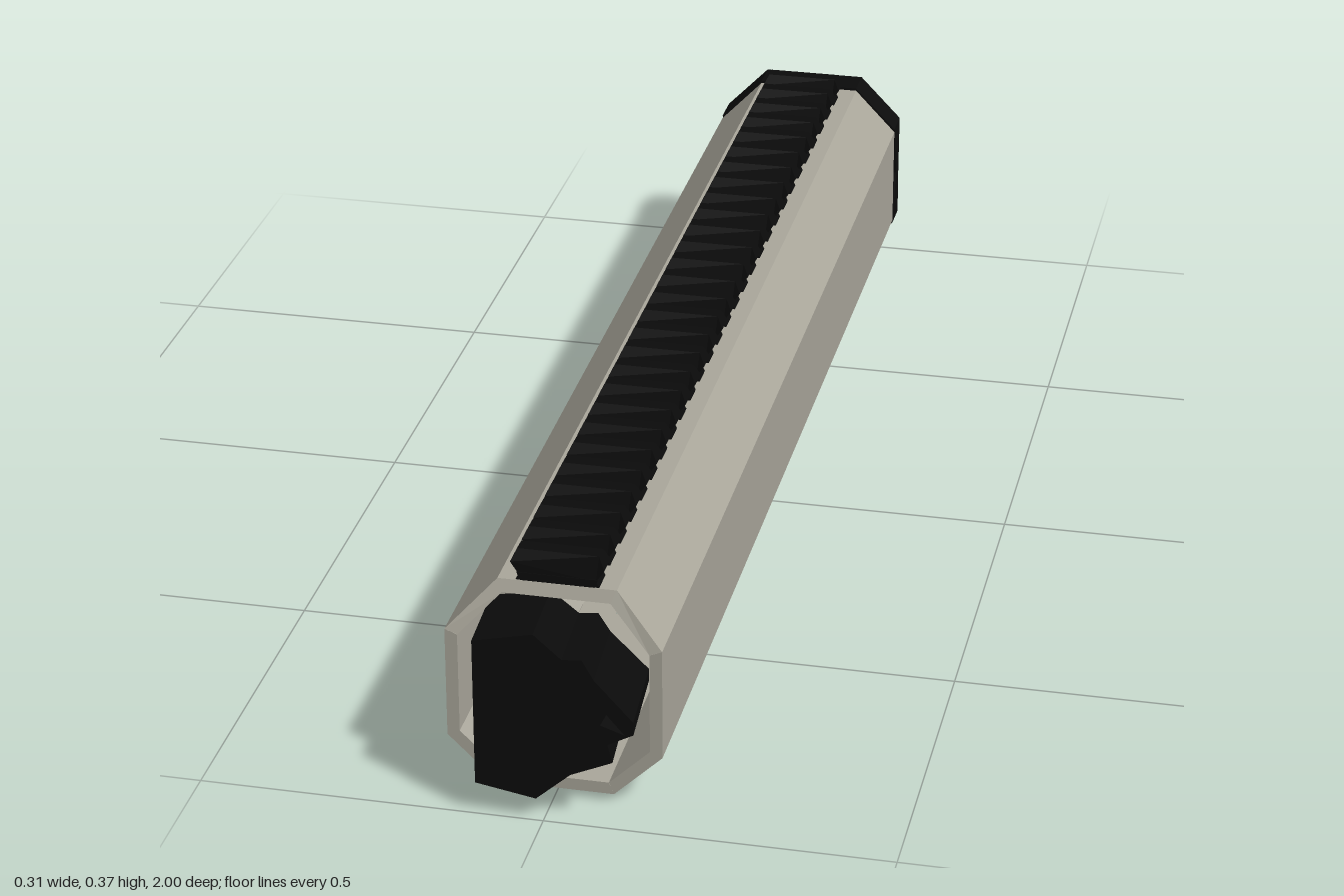
import * as THREE from 'three';

const shellGrey = new THREE.MeshStandardMaterial({ color: 0xaaa79b });
shellGrey.name = 'shellGrey';
const matteBlack = new THREE.MeshStandardMaterial({ color: 0x0b0b0b });
matteBlack.name = 'matteBlack';

const SLOT_CENTRES = [-0.73, -0.365, 0, 0.365, 0.73];

function named(name, geometry, material) {
  const mesh = new THREE.Mesh(geometry, material);
  mesh.name = name;
  return mesh;
}

function polygon(points, Type = THREE.Shape) {
  return new Type(points.map(([x, y]) => new THREE.Vector2(x, y)));
}

function rectangle(w, z0, z1, Type) {
  return polygon([[-w / 2, z0], [w / 2, z0], [w / 2, z1], [-w / 2, z1]], Type);
}

// Long wall whose outer face runs from a to b (counterclockwise seen from the front)
function wall(a, b, thick, back, front, slotWidth) {
  const u = new THREE.Vector3(b[0] - a[0], b[1] - a[1], 0);
  const width = u.length();
  u.normalize();
  const n = new THREE.Vector3(u.y, -u.x, 0);
  const shape = rectangle(width, back, front);
  if (slotWidth) {
    for (const c of SLOT_CENTRES) shape.holes.push(rectangle(slotWidth, c - 0.095, c + 0.095, THREE.Path));
  }
  const geo = new THREE.ExtrudeGeometry(shape, { depth: thick, bevelEnabled: false });
  // Mitre the inner edges and taper the slots inward
  const p = geo.attributes.position;
  for (let i = 0; i < p.count; i++) {
    if (p.getZ(i) > thick / 2) continue;
    const x = p.getX(i);
    const atEdge = Math.abs(x) > width / 2 - 1e-4;
    p.setX(i, atEdge ? x - Math.sign(x) * thick * 0.414 : x * 0.75);
  }
  const m = new THREE.Matrix4().makeBasis(u, new THREE.Vector3(0, 0, 1), n);
  m.setPosition((a[0] + b[0]) / 2 - n.x * thick, (a[1] + b[1]) / 2 - n.y * thick, 0);
  geo.applyMatrix4(m);
  return geo;
}

// Octagonal tube, slotted along the top, bottom and right side
function makeShell() {
  const shell = new THREE.Group();
  shell.name = 'octagonalShell';
  const c = [[0.085, 0.012], [0.155, 0.08], [0.155, 0.25], [0.085, 0.323],
    [-0.085, 0.323], [-0.155, 0.25], [-0.155, 0.08], [-0.085, 0.012]];
  const names = ['lowerLeftWall', 'leftWall', 'upperLeftWall', 'topWall',
    'upperRightWall', 'rightWall', 'lowerRightWall', 'bottomWall'];
  const slots = { topWall: 0.06, rightWall: 0.065, bottomWall: 0.06 };
  names.forEach((name, i) => {
    const geo = wall(c[i], c[(i + 1) % 8], 0.018, -0.945, 0.93, slots[name]);
    // Lean the upper front edge back a little
    const p = geo.attributes.position;
    for (let k = 0; k < p.count; k++) {
      if (p.getZ(k) > 0.9) p.setZ(k, p.getZ(k) - Math.max(0, p.getY(k) - 0.25) * 0.4);
    }
    geo.computeVertexNormals();
    shell.add(named(name, geo, shellGrey));
  });
  return shell;
}

// Thin end band that narrows halfway up each side
function makeEndRing() {
  const c = [[0.085, 0], [0.155, 0.075], [0.157, 0.165, 1], [0.155, 0.255], [0.085, 0.327],
    [-0.085, 0.327], [-0.155, 0.255], [-0.157, 0.165, 1], [-0.155, 0.075], [-0.085, 0]];
  const position = [], index = [];
  for (const [x, y, waist] of c) {
    const ix = x * 0.92, iy = 0.1635 + (y - 0.1635) * 0.93;
    const front = waist ? -0.962 : -0.945, back = waist ? -0.985 : -1;
    position.push(x, y, front, x, y, back, ix, iy, back, ix, iy, front);
  }
  for (let i = 0; i < c.length; i++) {
    const j = (i + 1) % c.length;
    for (let k = 0; k < 4; k++) {
      const l = (k + 1) % 4;
      const [p, q, r, s] = [i * 4 + k, i * 4 + l, j * 4 + l, j * 4 + k];
      index.push(p, q, r, p, r, s);
    }
  }
  const indexed = new THREE.BufferGeometry();
  indexed.setAttribute('position', new THREE.Float32BufferAttribute(position, 3));
  indexed.setIndex(index);
  const geo = indexed.toNonIndexed();
  geo.computeVertexNormals();
  return named('endRing', geo, matteBlack);
}

// Accessory rail: slotted base strip with a row of dovetail teeth
function makeRail() {
  const rail = new THREE.Group();
  rail.name = 'topRail';
  const base = wall([0.058, 0.335], [-0.058, 0.335], 0.013, -0.91, 0.9, 0.06);
  base.computeVertexNormals();
  rail.add(named('railBase', base, matteBlack));

  const profile = polygon([[-0.06, 0.322], [0.06, 0.322], [0.055, 0.332], [0.067, 0.35],
    [0.058, 0.368], [-0.058, 0.368], [-0.067, 0.35], [-0.055, 0.332]]);
  const depth = 0.038;
  const tooth = new THREE.ExtrudeGeometry(profile, { depth, bevelEnabled: false });
  tooth.translate(0, 0, -depth / 2);
  // Narrow each tooth toward its crown
  const p = tooth.attributes.position;
  for (let i = 0; i < p.count; i++) {
    if (p.getY(i) > 0.36) p.setZ(i, p.getZ(i) * 0.6);
  }
  tooth.computeVertexNormals();
  const count = 28;
  for (let i = 0; i < count; i++) {
    const mesh = named('railTooth', tooth, matteBlack);
    mesh.position.z = 0.88 - (i * 1.77) / (count - 1);
    rail.add(mesh);
  }
  return rail;
}

// Faceted nut filling the front opening
function makeNut() {
  const outline = polygon([[-0.097, 0.05], [-0.01, 0.035], [0.04, 0.08], [0.1, 0.107],
    [0.093, 0.135], [0.13, 0.155], [0.13, 0.175], [0.075, 0.235], [0.058, 0.265],
    [0.03, 0.262], [-0.01, 0.297], [-0.097, 0.277]]);
  outline.holes.push(polygon([[0.092, 0.183], [0.083, 0.165], [0.118, 0.153]], THREE.Path));
  const geo = new THREE.ExtrudeGeometry(outline, { depth: 0.15, bevelEnabled: false });
  geo.translate(0, 0, 0.85);
  // Slant the rear outline slightly down and to the right
  const p = geo.attributes.position;
  for (let i = 0; i < p.count; i++) {
    if (p.getZ(i) < 0.9) {
      p.setX(i, p.getX(i) - 0.012);
      p.setY(i, 0.16 + (p.getY(i) - 0.16) * 0.9);
    }
  }
  geo.computeVertexNormals();
  return named('frontNut', geo, matteBlack);
}

export function createModel() {
  const model = new THREE.Group();
  model.name = 'slottedTubeWithRail';
  model.add(makeShell(), makeEndRing(), makeRail(), makeNut());
  return model;
}
